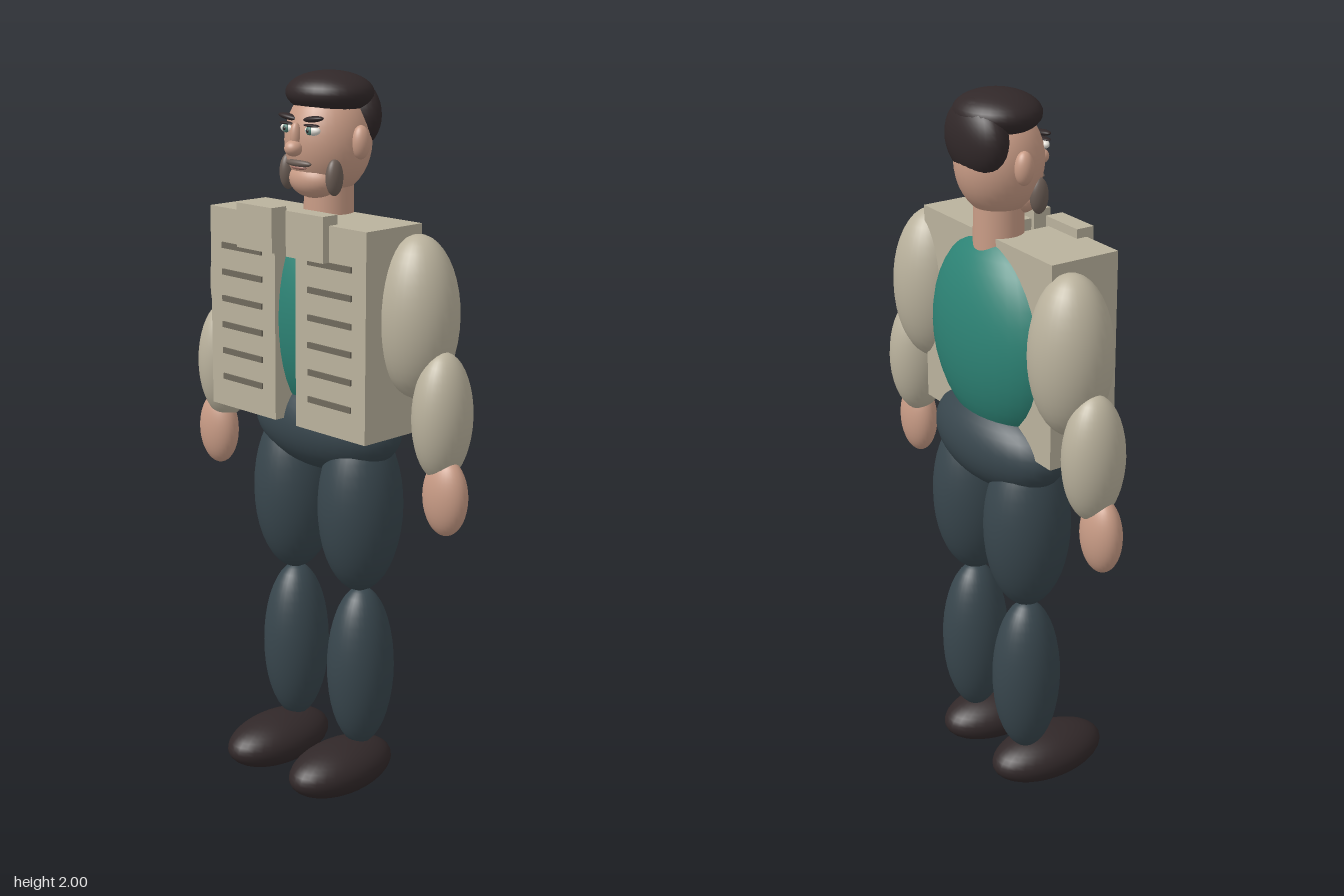
import * as THREE from 'three';

const mat = (name, color) => {
  const m = new THREE.MeshStandardMaterial({ color });
  m.name = name;
  return m;
};

export function createModel() {
  const root = new THREE.Group();
  root.name = 'figure';

  const skin = mat('skin', 0xc99c86);
  const dark = mat('darkBrown', 0x312829);
  const jacket = mat('jacketBeige', 0xbab29d);
  const slitGrey = mat('slitGrey', 0x6f695c);
  const teal = mat('shirtTeal', 0x2d8375);
  const trousers = mat('trouserSlate', 0x38464d);
  const stubble = mat('stubbleGrey', 0x6b5d55);
  const white = mat('eyeWhite', 0xe6e2da);
  const iris = mat('irisGreen', 0x4f7a70);
  const lip = mat('lip', 0xa8766a);

  const ball = new THREE.SphereGeometry(1, 32, 20);
  const add = (name, geo, material, pos) => {
    const mesh = new THREE.Mesh(geo, material);
    mesh.name = name;
    mesh.position.set(...pos);
    root.add(mesh);
    return mesh;
  };
  // Ellipsoid given by its centre and radii
  const blob = (name, material, pos, radii, tilt = 0) => {
    const mesh = add(name, ball, material, pos);
    mesh.scale.set(...radii);
    mesh.rotation.z = tilt;
    return mesh;
  };
  // Box given by its lower and upper corners
  const box = (name, material, a, b) =>
    add(name, new THREE.BoxGeometry(...a.map((v, i) => Math.abs(b[i] - v))), material,
      a.map((v, i) => (v + b[i]) / 2));

  // Trunk and neck
  blob('torso', teal, [0, 1.35, -0.05], [0.26, 0.285, 0.142]);
  blob('hips', trousers, [0, 1.05, -0.055], [0.255, 0.13, 0.132]);
  add('neck', new THREE.CylinderGeometry(0.066, 0.068, 0.16, 32), skin, [0, 1.63, -0.057]);

  // Head and hair
  blob('head', skin, [0, 1.82, -0.055], [0.115, 0.145, 0.118]);
  blob('jaw', skin, [0, 1.722, -0.005], [0.077, 0.05, 0.058]);
  blob('hairTop', dark, [0, 1.943, -0.06], [0.122, 0.057, 0.112]);
  blob('hairBack', dark, [0, 1.885, -0.122], [0.116, 0.103, 0.062]);
  blob('noseBridge', skin, [0, 1.838, 0.062], [0.014, 0.036, 0.016]);
  blob('noseTip', skin, [0, 1.808, 0.07], [0.024, 0.021, 0.025]);
  blob('moustache', stubble, [0, 1.768, 0.052], [0.046, 0.01, 0.013]);
  blob('lowerLip', lip, [0, 1.757, 0.051], [0.028, 0.006, 0.01]);

  for (const [side, s] of [['left', 1], ['right', -1]]) {
    const n = (part) => side + part;

    // Face details
    blob(n('Ear'), skin, [s * 0.118, 1.823, -0.058], [0.024, 0.044, 0.026]);
    blob(n('Stubble'), stubble, [s * 0.088, 1.735, 0.008], [0.02, 0.048, 0.026]);
    blob(n('Brow'), dark, [s * 0.047, 1.884, 0.044], [0.036, 0.008, 0.014], s * 0.12);
    blob(n('Eye'), white, [s * 0.046, 1.855, 0.046], [0.026, 0.013, 0.014]);
    blob(n('Iris'), iris, [s * 0.044, 1.855, 0.056], [0.011, 0.011, 0.007]);
    blob(n('Pupil'), dark, [s * 0.044, 1.855, 0.061], [0.005, 0.005, 0.004]);
    blob(n('Eyelid'), dark, [s * 0.046, 1.868, 0.05], [0.028, 0.004, 0.011]);

    // Arm
    blob(n('UpperArm'), jacket, [s * 0.328, 1.395, -0.06], [0.11, 0.215, 0.11]);
    blob(n('Forearm'), jacket, [s * 0.425, 1.148, -0.055], [0.075, 0.172, 0.086]);
    blob(n('Hand'), skin, [s * 0.45, 0.94, -0.045], [0.068, 0.106, 0.048]);

    // Leg
    blob(n('Thigh'), trousers, [s * 0.13, 0.835, -0.055], [0.114, 0.245, 0.122]);
    blob(n('Shin'), trousers, [s * 0.132, 0.36, -0.058], [0.091, 0.237, 0.098]);
    blob(n('Shoe'), dark, [s * 0.13, 0.073, 0.016], [0.1, 0.073, 0.178]);

    // Open jacket half, collar and slits
    box(n('JacketHalf'), jacket, [s * 0.04, 1.075, -0.1], [s * 0.3, 1.63, 0.102]);
    box(n('Collar'), jacket, [s * 0.027, 1.535, 0.072], [s * 0.166, 1.655, 0.124]);
    for (let i = 0; i < 6; i++) {
      const y = 1.16 + i * 0.0735;
      box(n('JacketSlit'), slitGrey, [s * 0.09, y - 0.008, 0.099], [s * 0.25, y + 0.008, 0.107]);
    }
  }
  return root;
}
